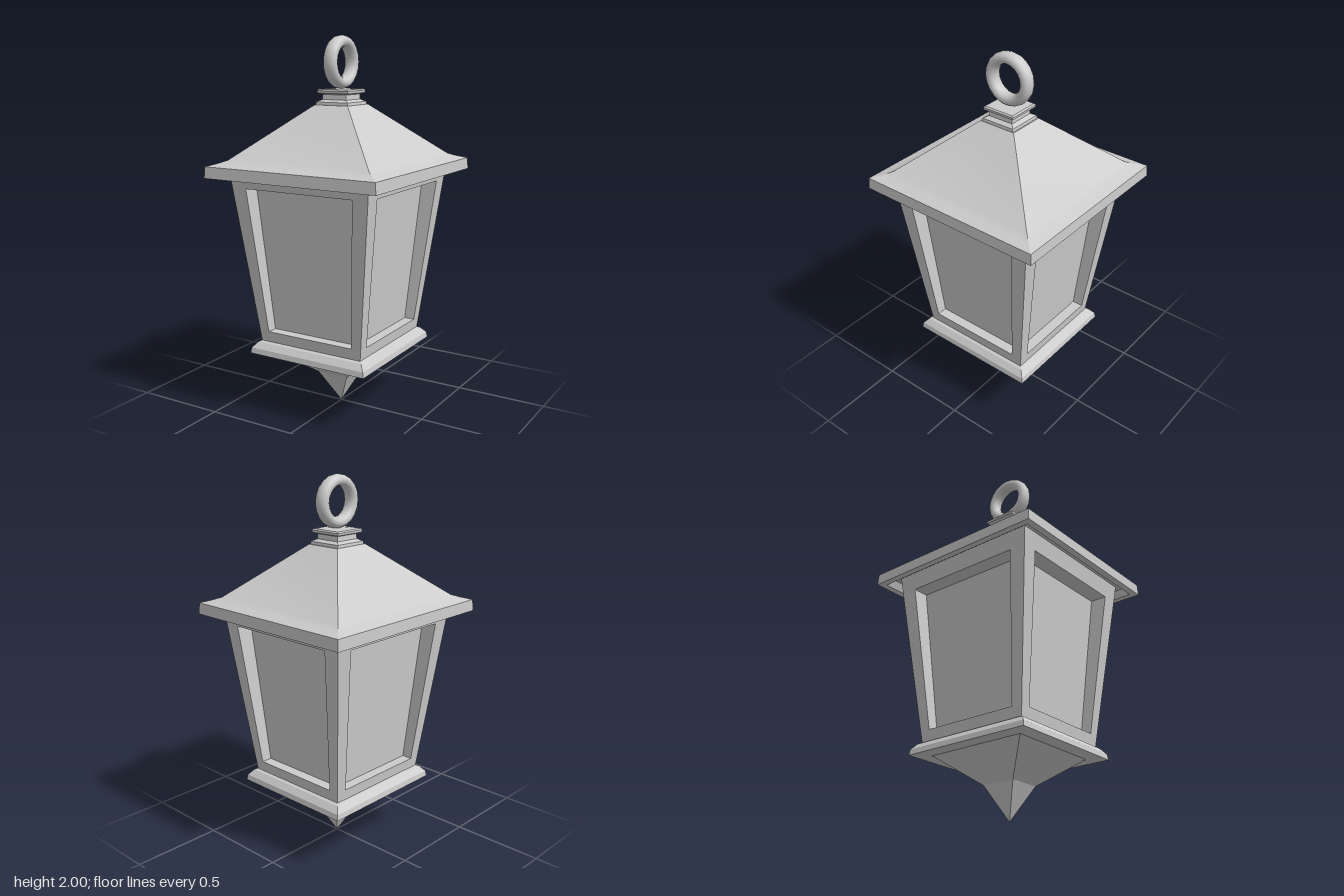
import * as THREE from 'three';
import { toCreasedNormals } from 'three/addons/utils/BufferGeometryUtils.js';

const DEPTH = 1.045; // the lantern is slightly deeper than wide
const metal = new THREE.MeshStandardMaterial({ color: 0xcccccc });

function addMesh(group, name, geometry) {
  const mesh = new THREE.Mesh(geometry, metal);
  mesh.name = name;
  group.add(mesh);
  return mesh;
}

// Four-sided solid from a profile of [half width, height], bottom to top
function squareTurned(profile, depth = DEPTH) {
  const points = profile.map(([r, y]) => new THREE.Vector2(r, y));
  const geometry = new THREE.LatheGeometry(points, 4);
  geometry.rotateY(Math.PI / 4);
  geometry.scale(Math.SQRT2, 1, Math.SQRT2 * depth);
  return toCreasedNormals(geometry, 0.42);
}

// Half widths of the flared frame and of the panes inside it
const outerAt = (y) => 0.305 + (0.102 * (y - 0.39)) / 0.89;
const innerAt = (y) => 0.255 + (0.06 * (y - 0.45)) / 0.78;
const SILL = 0.45, HEAD = 1.23;

// Corner post between the panes and the outer frame, leaning with the flare
function cornerPost(sx, sz) {
  const geometry = new THREE.BoxGeometry(1, 1, 1);
  const p = geometry.attributes.position;
  for (let i = 0; i < p.count; i++) {
    const y = p.getY(i) > 0 ? HEAD : SILL;
    const half = (v, s) => s * (v * s > 0 ? outerAt(y) : innerAt(y));
    p.setXYZ(i, half(p.getX(i), sx), y, half(p.getZ(i), sz) * DEPTH);
  }
  geometry.computeVertexNormals();
  return geometry;
}

export function createModel() {
  const lantern = new THREE.Group();
  lantern.name = 'lantern';

  // Pointed pendant under the base
  addMesh(lantern, 'bottomFinial', squareTurned([
    [0, 0], [0.09, 0.18], [0.275, 0.33], [0, 0.33],
  ]));

  // Base moulding
  addMesh(lantern, 'base', squareTurned([
    [0, 0.325], [0.35, 0.325], [0.345, 0.355], [0.32, 0.385], [0.305, 0.392], [0, 0.392],
  ]));

  // Frame: rails above and below the panes, posts at the corners
  const frame = new THREE.Group();
  frame.name = 'frame';
  lantern.add(frame);
  const rail = (a, b) => squareTurned([[0, a], [outerAt(a), a], [outerAt(b), b], [0, b]]);
  addMesh(frame, 'bottomRail', rail(0.385, SILL));
  addMesh(frame, 'topRail', rail(HEAD, 1.33));
  for (const sx of [-1, 1]) {
    for (const sz of [-1, 1]) addMesh(frame, 'cornerPost', cornerPost(sx, sz));
  }

  // Recessed panes on all four sides
  addMesh(lantern, 'panes', squareTurned([
    [0, SILL], [innerAt(SILL), SILL], [innerAt(HEAD), HEAD], [0, HEAD],
  ]));

  // Hipped roof with a flared lip, hollowed a little under the eaves
  addMesh(lantern, 'roof', squareTurned([
    [0, 1.325], [0.45, 1.325], [0.465, 1.283], [0.5, 1.283], [0.497, 1.343],
    [0.45, 1.358], [0.415, 1.372], [0.1, 1.645], [0, 1.645],
  ]));

  // Stepped cap with a narrow neck
  addMesh(lantern, 'cap', squareTurned([
    [0, 1.64], [0.098, 1.64], [0.095, 1.66], [0.072, 1.672], [0.07, 1.698],
    [0.09, 1.705], [0.092, 1.718], [0.085, 1.725], [0, 1.73],
  ], 1));

  // Hanging ring, facing sideways, with a flattened section
  const ring = new THREE.TorusGeometry(0.107, 0.0305, 14, 20);
  ring.scale(1, 1, 1.28);
  ring.rotateY(Math.PI / 2);
  ring.translate(0, 1.8625, 0);
  addMesh(lantern, 'hangingRing', ring);

  return lantern;
}
